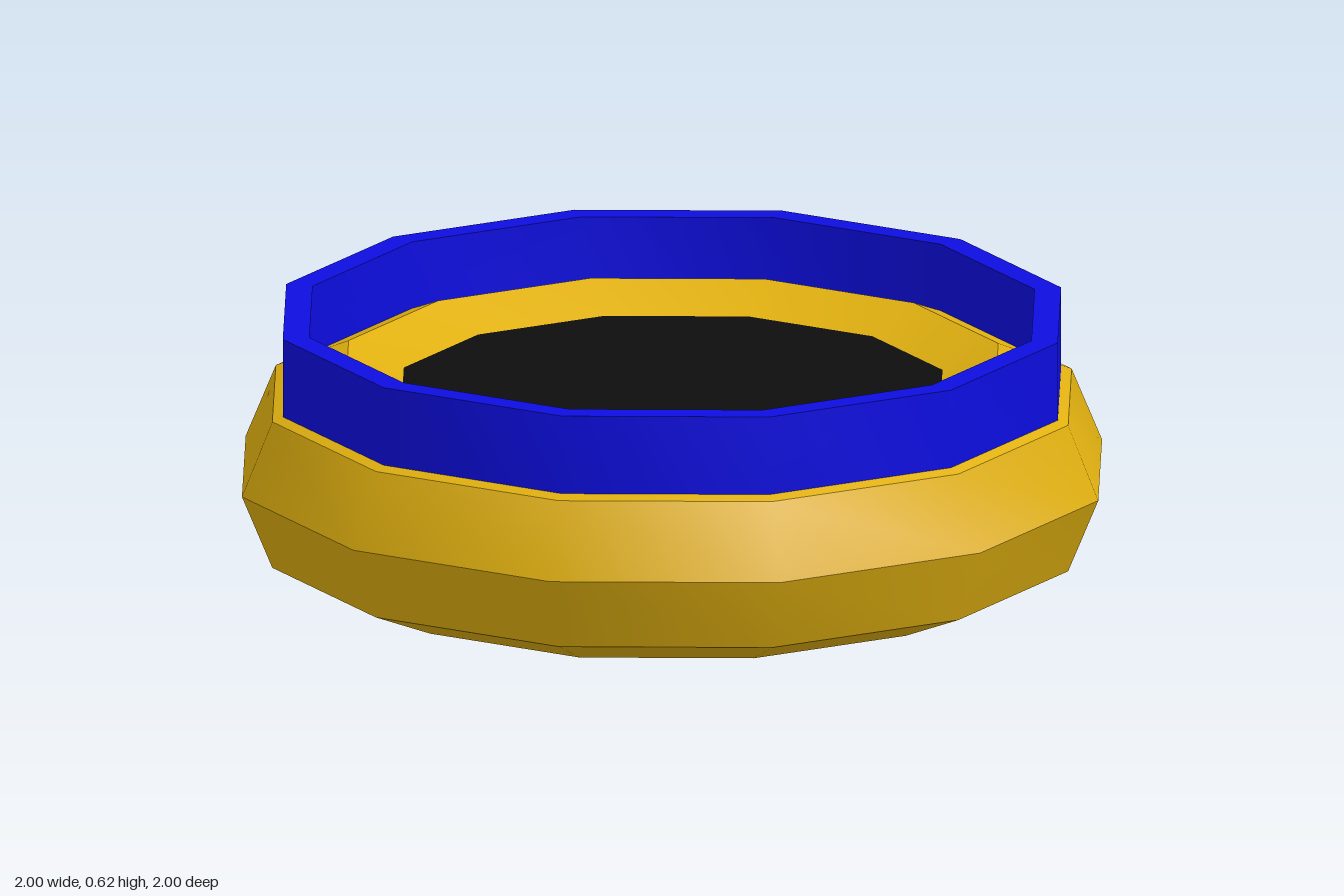
import * as THREE from 'three';
import { toCreasedNormals } from 'three/addons/utils/BufferGeometryUtils.js';

const SIDES = 12;
const CORNER = 1 / Math.cos(Math.PI / SIDES); // flat radius to corner radius

const gold = new THREE.MeshStandardMaterial({ name: 'gold', color: 0xe0b010 });
const blue = new THREE.MeshStandardMaterial({ name: 'blue', color: 0x0d0de0 });
const black = new THREE.MeshStandardMaterial({ name: 'black', color: 0x0d0d0d });

// Twelve-sided turned part from a profile of [corner radius, height], flats facing the axes
function turned(name, profile, material) {
  const points = profile.map(([r, y]) => new THREE.Vector2(r, y));
  const lathe = new THREE.LatheGeometry(points, SIDES, Math.PI / SIDES);
  const mesh = new THREE.Mesh(toCreasedNormals(lathe, THREE.MathUtils.degToRad(35)), material);
  mesh.name = name;
  return mesh;
}

export function createModel() {
  const group = new THREE.Group();
  group.name = 'ringBase';

  // Body: a ring with an octagonal section
  const tube = 0.25, ring = CORNER - tube;
  const section = [];
  for (let i = 0; i <= 8; i++) {
    const a = -Math.PI / 2 + (i % 8) * Math.PI / 4;
    section.push([ring + tube * Math.cos(a), 0.253 + tube * Math.sin(a)]);
  }
  group.add(turned('bodyRing', section, gold));

  // Upright collar set into the top of the body
  const outer = 0.905 * CORNER, inner = 0.843 * CORNER;
  group.add(turned('collar', [
    [inner, 0.35], [outer, 0.35], [outer, 0.628], [inner, 0.628], [inner, 0.35],
  ], blue));

  // Plate closing the middle of the ring
  const plate = new THREE.Mesh(new THREE.CylinderGeometry(0.71, 0.71, 0.097, SIDES, 1, false, Math.PI / SIDES), black);
  plate.name = 'centrePlate';
  plate.position.y = 0.399;
  group.add(plate);

  return group;
}
